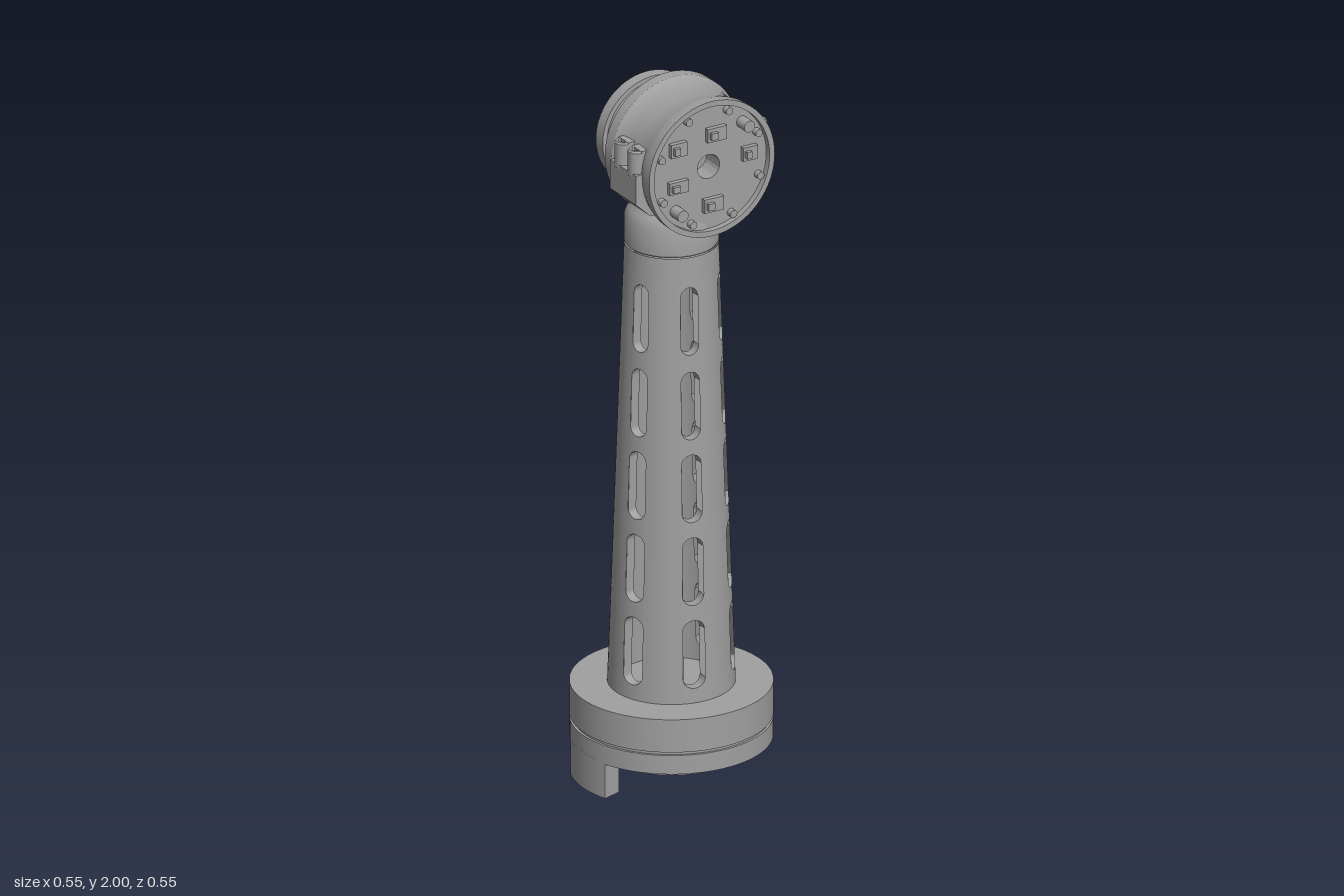
import * as THREE from 'three';
import { mergeGeometries, toCreasedNormals } from 'three/addons/utils/BufferGeometryUtils.js';

const grey = new THREE.MeshStandardMaterial({ color: 0xa0a0a0, side: THREE.DoubleSide });
grey.name = 'machined grey';

const part = (name, geo, parent) => {
  const m = new THREE.Mesh(geo, grey);
  m.name = name;
  parent.add(m);
  return m;
};

// Turned part from [radius, height] pairs
const turned = (pts, seg = 64) =>
  toCreasedNormals(new THREE.LatheGeometry(pts.map(([r, y]) => new THREE.Vector2(r, y)), seg), 0.5);

const addHole = (shape, x, y, r) =>
  shape.holes.push(new THREE.Path().absarc(x, y, r, 0, Math.PI * 2, true));

const extrude = (shape, depth) =>
  toCreasedNormals(new THREE.ExtrudeGeometry(shape, { depth, bevelEnabled: false, curveSegments: 40 }), 0.5);

// Round plate with a bore and a circle of bolt holes
const drilledPlate = (R, bore, count, ringR, holeR, depth) => {
  const s = new THREE.Shape().absarc(0, 0, R, 0, Math.PI * 2, false);
  addHole(s, 0, 0, bore);
  for (let i = 0; i < count; i++) {
    const a = (i + 0.5) / count * Math.PI * 2;
    addHole(s, ringR * Math.cos(a), ringR * Math.sin(a), holeR);
  }
  return extrude(s, depth);
};

// Grid surface from f(u, v) -> [x, y, z]
const grid = (f, nu, nv) => {
  const pos = [], idx = [];
  for (let j = 0; j <= nv; j++) for (let i = 0; i <= nu; i++) pos.push(...f(i / nu, j / nv));
  for (let j = 0; j < nv; j++) for (let i = 0; i < nu; i++) {
    const a = j * (nu + 1) + i, b = a + nu + 1;
    idx.push(a, a + 1, b, a + 1, b + 1, b);
  }
  const g = new THREE.BufferGeometry();
  g.setAttribute('position', new THREE.Float32BufferAttribute(pos, 3));
  g.setIndex(idx);
  g.computeVertexNormals();
  return g;
};

// Hollow tapered tube with six columns of five slots
function slottedTube() {
  const y0 = 0.26, y1 = 1.55, wall = 0.028, h = 0.19, w = 0.028, halfLen = 0.098;
  const rows = [0.4, 0.64, 0.88, 1.12, 1.365];
  const at = (a, y, t) => {
    const r = THREE.MathUtils.lerp(0.173, 0.128, (y - y0) / (y1 - y0)) - t * wall;
    return [r * Math.sin(a), y, r * Math.cos(a)];
  };
  const half = s => halfLen - w + w * Math.sqrt(Math.max(0, 1 - s * s));
  const geos = [];
  for (let k = 0; k < 6; k++) {
    const c = 0.21 + k * Math.PI / 3;
    for (const t of [0, 1]) {
      // solid strip between slot columns
      geos.push(grid((u, v) => at(c + h + u * (Math.PI / 3 - 2 * h), y0 + v * (y1 - y0), t), 8, 1));
      // bridges above and below each slot
      for (let i = 0; i <= rows.length; i++) geos.push(grid((u, v) => {
        const s = Math.sin((u - 0.5) * Math.PI);
        const lo = i ? rows[i - 1] + half(s) : y0;
        const hi = i < rows.length ? rows[i] - half(s) : y1;
        return at(c + s * h, lo + v * (hi - lo), t);
      }, 12, 1));
    }
    // walls of the slots
    for (const yc of rows) geos.push(grid((u, v) => {
      const q = u * Math.PI * 2, side = Math.sin(q) >= 0 ? 1 : -1;
      return at(c + Math.cos(q) * h, yc + side * half(Math.cos(q)), v);
    }, 24, 1));
  }
  return mergeGeometries(geos);
}

function buildBase(root) {
  const base = new THREE.Group();
  base.name = 'base';
  root.add(base);
  part('upperFlange', turned([[0, 0.154], [0.268, 0.154], [0.268, 0.164], [0.275, 0.164], [0.275, 0.26], [0, 0.26]], 96), base);
  const flange = part('lowerFlange', drilledPlate(0.275, 0.2, 8, 0.245, 0.017, 0.055), base);
  flange.rotation.x = -Math.PI / 2;
  flange.position.y = 0.1;
  part('pilotRing', turned([[0.19, 0.09], [0.19, 0.07], [0.213, 0.07], [0.213, 0.11]]), base);
  const hub = part('hubPlate', drilledPlate(0.195, 0.04, 10, 0.155, 0.007, 0.03), base);
  hub.rotation.x = -Math.PI / 2;
  hub.position.y = 0.086;
  // curved foot under the front of the flange
  const s = new THREE.Shape(), a0 = -Math.PI / 2 - 0.53, a1 = -Math.PI / 2 + 0.175;
  s.absarc(0, 0, 0.275, a0, a1, false);
  s.absarc(0, 0, 0.217, a1, a0, true);
  s.closePath();
  for (const f of [0.22, 0.78]) {
    const a = a0 + f * (a1 - a0);
    addHole(s, 0.246 * Math.cos(a), 0.246 * Math.sin(a), 0.014);
  }
  part('foot', extrude(s, 0.105), base).rotation.x = -Math.PI / 2;
}

function buildHead(root) {
  const head = new THREE.Group();
  head.name = 'head';
  head.position.set(0, 1.802, -0.043);
  head.rotation.y = -0.142;
  root.add(head);
  const onAxis = (name, geo) => { part(name, geo, head).rotation.z = -Math.PI / 2; };

  // waisted housing with a recessed face
  onAxis('housing', turned([[0, -0.08], [0.2, -0.08], [0.2, -0.045], [0.193, -0.035], [0.187, 0], [0.185, 0.04],
    [0.188, 0.08], [0.194, 0.105], [0.198, 0.12], [0.198, 0.146], [0.182, 0.146], [0.182, 0.128],
    [0.035, 0.128], [0.035, 0.06], [0, 0.06]], 80));
  // grooved output stack
  onAxis('outputRings', turned([[0, -0.1], [0.038, -0.1], [0.038, -0.152], [0.15, -0.152], [0.15, -0.128],
    [0.143, -0.128], [0.143, -0.117], [0.16, -0.117], [0.16, -0.09], [0.145, -0.09], [0.145, -0.075]]));
  const plate = part('outputPlate', drilledPlate(0.163, 0.038, 12, 0.138, 0.007, 0.036), head);
  plate.rotation.y = Math.PI / 2;
  plate.position.x = -0.187;

  // clamp lugs with socketed bosses on both sides
  for (const side of [1, -1]) {
    const lug = new THREE.Group();
    lug.name = side > 0 ? 'frontLug' : 'backLug';
    head.add(lug);
    const s = new THREE.Shape();
    [[0.12, -0.125], [0.17, -0.115], [0.213, -0.075], [0.213, 0.01], [0.12, 0.01]]
      .forEach(([v, y], i) => i ? s.lineTo(-side * v, y) : s.moveTo(-side * v, y));
    const block = part('lugBlock', extrude(s, 0.133), lug);
    block.rotation.y = Math.PI / 2;
    block.position.x = -0.031;
    for (const u of [0.002, 0.071]) {
      part('boss', turned([[0.025, 0], [0.025, 0.07], [0.021, 0.075], [0.014, 0.075], [0.011, 0.06], [0, 0.06]], 24), lug)
        .position.set(u, 0, side * 0.191);
      part('bossWeb', new THREE.BoxGeometry(0.05, 0.075, 0.05), lug).position.set(u, 0.0375, side * 0.166);
    }
  }

  // toothed clamp around the back of the output stack
  for (let i = 0; i < 5; i++) {
    const a = 0.1 - i * 0.3;
    const tooth = part('clampTooth', new THREE.BoxGeometry(0.065, 0.03 + (i ? 0.008 : 0.05), 0.032), head);
    tooth.position.set(-0.108, 0.183 * Math.sin(a), -0.183 * Math.cos(a));
    tooth.rotation.x = a;
  }

  // fittings on the recessed face, as [height, depth position, height size, depth size]
  for (const [y, z, sy, sz] of [[0.015, -0.125, 0.04, 0.045], [-0.035, 0.1, 0.035, 0.06], [0.095, -0.02, 0.04, 0.06],
    [0.075, 0.1, 0.04, 0.05], [-0.11, -0.01, 0.04, 0.06]]) {
    part('connector', new THREE.BoxGeometry(0.016, sy, sz), head).position.set(0.134, y, z);
    part('connectorCap', new THREE.BoxGeometry(0.012, sy * 0.5, sz * 0.35), head).position.set(0.147, y, z + sz * 0.22);
  }
  for (let i = 0; i < 8; i++) {
    const a = 0.35 + i * Math.PI / 4;
    const screw = part('screw', new THREE.CylinderGeometry(0.011, 0.011, 0.018, 16), head);
    screw.rotation.z = -Math.PI / 2;
    screw.position.set(0.136, 0.165 * Math.sin(a), 0.165 * Math.cos(a));
  }
  for (const s of [1, -1]) {
    const pin = part('pin', new THREE.CylinderGeometry(0.017, 0.017, 0.045, 20), head);
    pin.rotation.z = -Math.PI / 2;
    pin.position.set(0.147, s * 0.108, -s * 0.105);
  }
}

export function createModel() {
  const root = new THREE.Group();
  root.name = 'robotArmLink';
  buildBase(root);
  part('slottedColumn', slottedTube(), root);
  part('neck', turned([[0, 1.552], [0.125, 1.552], [0.128, 1.557], [0.128, 1.63], [0.118, 1.655], [0.095, 1.68], [0.08, 1.72], [0, 1.72]]), root);
  buildHead(root);
  return root;
}
